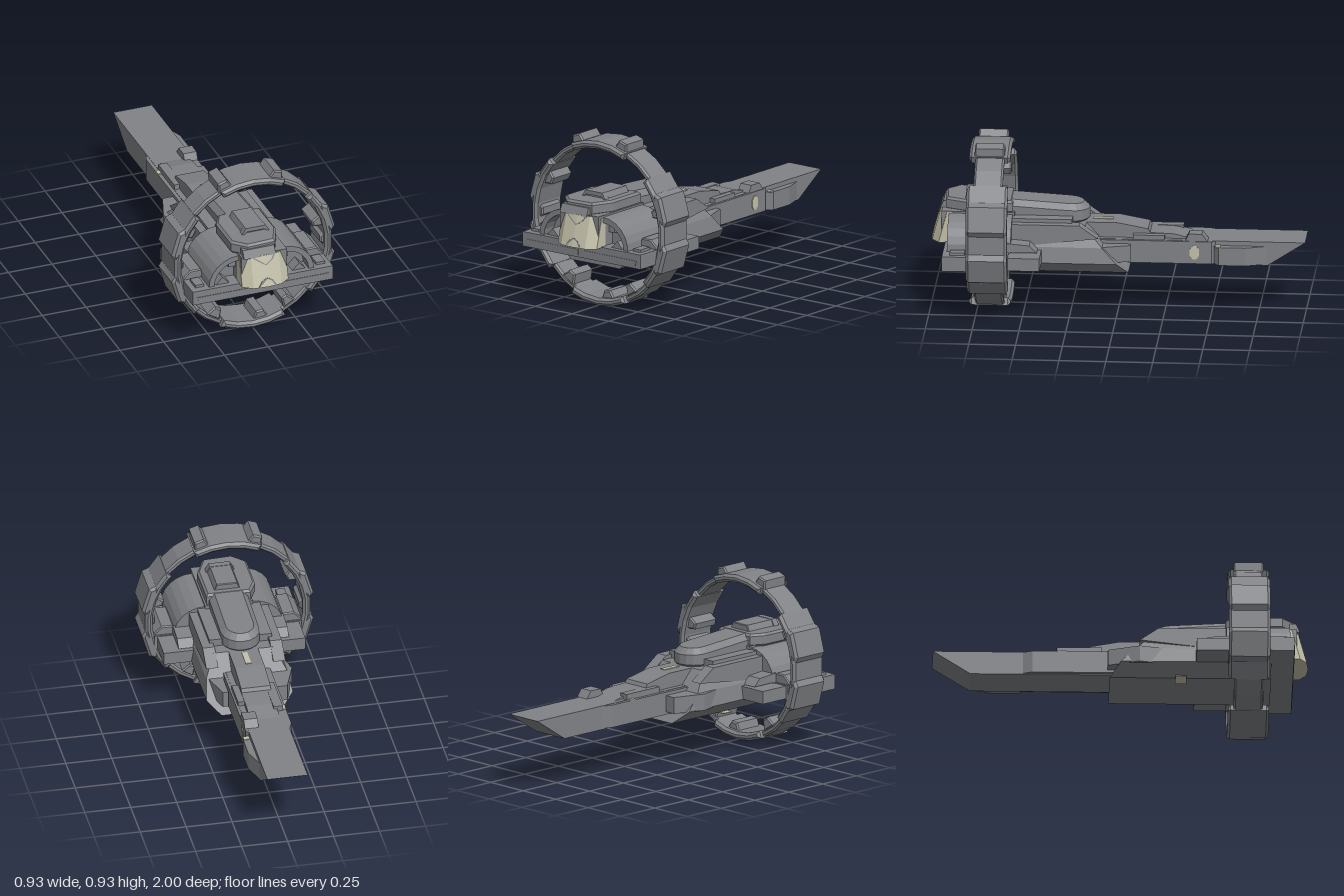
import * as THREE from 'three';

export function createModel() {
  const root = new THREE.Group();
  root.name = 'ringShip';
  const grey = new THREE.MeshStandardMaterial({ color: 0x808286 });
  const cream = new THREE.MeshStandardMaterial({ color: 0xc4c1aa });
  grey.name = 'hullGrey';
  cream.name = 'glassCream';

  const add = (name, geo, mat = grey) => {
    const m = new THREE.Mesh(geo, mat);
    m.name = name;
    root.add(m);
    return m;
  };
  // Extrudes a polygon by d in total, with an optional chamfer b kept inside the outline
  const extrude = (pts, d, b = 0) => {
    const shape = new THREE.Shape(pts.map(p => new THREE.Vector2(p[0], p[1])));
    const g = new THREE.ExtrudeGeometry(shape, {
      depth: d - 2 * b, bevelEnabled: b > 0, bevelSize: b, bevelOffset: -b,
      bevelThickness: b, bevelSegments: 1, curveSegments: 8,
    });
    return g.translate(0, 0, b);
  };
  // Outlines in (x,y), (z,y) and (x,z)
  const front = (name, pts, z0, z1, b, mat) => add(name, extrude(pts, z1 - z0, b).translate(0, 0, z0), mat);
  const side = (name, pts, x0, x1, b, mat) =>
    add(name, extrude(pts, x1 - x0, b).rotateY(-Math.PI / 2).translate(x1, 0, 0), mat);
  const plan = (name, pts, y0, y1, b, mat) =>
    add(name, extrude(pts, y1 - y0, b).rotateX(Math.PI / 2).translate(0, y1, 0), mat);
  const box = (name, x0, x1, y0, y1, z0, z1, mat) =>
    add(name, new THREE.BoxGeometry(x1 - x0, y1 - y0, z1 - z0)
      .translate((x0 + x1) / 2, (y0 + y1) / 2, (z0 + z1) / 2), mat);
  // Moves vertices by a rule
  const warp = (mesh, rule) => {
    const p = mesh.geometry.attributes.position, v = new THREE.Vector3();
    for (let i = 0; i < p.count; i++) {
      rule(v.fromBufferAttribute(p, i));
      p.setXYZ(i, v.x, v.y, v.z);
    }
    mesh.geometry.computeVertexNormals();
    return mesh;
  };

  // ---- Ring ----
  const polar = (deg, r) => {
    const a = deg * Math.PI / 180;
    return [Math.sin(a) * r, 0.45 + Math.cos(a) * r];
  };
  const arc = (name, a0, a1, r0, r1, z0, z1, b) => {
    const n = Math.max(1, Math.round((a1 - a0) / 12)), out = [], inn = [];
    for (let i = 0; i <= n; i++) {
      const a = a0 + (a1 - a0) * i / n;
      out.push(polar(a, r1));
      inn.unshift(polar(a, r0));
    }
    front(name, [...out, ...inn], z0, z1, b);
  };
  for (let k = 0; k < 4; k++) {
    const a = [24, 132, 204, 312][k];
    arc('ringLink', a - 1, a + 25, 0.414, 0.448, 0.6, 0.755, 0.01);
  }
  for (const a of [0, 180]) arc('ringEndPanel', a - 24, a + 24, 0.41, 0.452, 0.57, 0.79, 0.014);
  for (const a of [90, 270]) arc('ringSidePanel', a - 42, a + 42, 0.41, 0.451, 0.57, 0.79, 0.014);
  for (const sx of [1, -1]) for (const sy of [1, -1]) {
    const pod = [[0.40, 0.10], [0.445, 0.045], [0.466, 0.08], [0.428, 0.21], [0.388, 0.226], [0.375, 0.20]];
    front('ringArmour', pod.map(([x, y]) => [sx * x, 0.45 + sy * y]), 0.57, 0.79, 0.014);
  }
  // Wedge blocks: angle, base radius, tip radius, half angle
  const wedges = [[-20, 0.44, 0.49, 5.5], [18, 0.44, 0.49, 5.5], [-62, 0.42, 0.37, 6], [74, 0.42, 0.36, 5],
    [-148, 0.42, 0.36, 6], [149, 0.42, 0.36, 5], [173, 0.42, 0.37, 6], [90, 0.415, 0.39, 5], [-90, 0.415, 0.39, 5]];
  for (const [a, r0, r1, h] of wedges) {
    front('ringBlock', [polar(a - h, r0), polar(a - h * 0.55, r1), polar(a + h * 0.55, r1), polar(a + h, r0)],
      0.6, 0.76, 0.008);
  }
  box('ringLight', -0.05, 0.05, 0.856, 0.861, 0.65, 0.7, cream);

  // ---- Nose beam ----
  side('noseBeam', [[0.3, 0.27], [-0.8, 0.27], [-1, 0.4], [0.3, 0.4]], -0.11, 0.11);
  plan('beamSleeve', [[-0.13, 0.25], [-0.13, -0.47], [-0.11, -0.52], [0.11, -0.52], [0.125, -0.5], [0.125, 0.25]],
    0.275, 0.398);
  plan('beamCheek', [[0.1, -0.82], [0.148, -0.68], [0.148, -0.54], [0.1, -0.5]], 0.275, 0.375);
  side('beamSpine', [[0.25, 0.48], [0, 0.48], [-0.16, 0.45], [-0.17, 0.43], [-0.3, 0.425], [-0.4, 0.4], [0.25, 0.39]],
    -0.08, 0.08);
  side('sensorBlock', [[-0.36, 0.4], [-0.38, 0.44], [-0.45, 0.44], [-0.48, 0.4]], 0.05, 0.125);
  box('beamStep', -0.11, -0.06, 0.4, 0.43, -0.34, -0.1);
  box('beamStep', 0.06, 0.115, 0.4, 0.425, -0.25, -0.08);
  side('sideLight', [[-0.385, 0.32], [-0.4, 0.3], [-0.42, 0.3], [-0.435, 0.32], [-0.435, 0.355], [-0.42, 0.375],
    [-0.4, 0.375], [-0.385, 0.355]], 0.122, 0.128, 0, cream);
  box('deckLight', -0.13, -0.105, 0.396, 0.402, -0.33, -0.29, cream);
  box('cheekLight', 0.115, 0.145, 0.373, 0.379, -0.55, -0.52, cream);
  box('spineLight', -0.015, 0.015, 0.478, 0.484, 0.03, 0.14, cream);

  // ---- Main hull: hexagonal section, raked at the nose end ----
  const hullSection = [[-0.165, 0.23], [0.165, 0.23], [0.235, 0.295], [0.22, 0.38], [0.165, 0.48],
    [-0.165, 0.48], [-0.22, 0.38], [-0.235, 0.295]];
  warp(front('mainHull', hullSection, 0, 0.8), v => {
    if (v.z < 0.1) v.z = -0.06 + (v.y - 0.23) * 0.92;
    else v.z = 0.8;
  });
  plan('shoulder', [[-0.13, -0.07], [-0.19, -0.07], [-0.25, 0.1], [-0.22, 0.22], [-0.13, 0.22]], 0.29, 0.38);
  plan('shoulder', [[0.13, -0.07], [0.16, -0.07], [0.22, 0.12], [0.22, 0.28], [0.13, 0.28]], 0.29, 0.38);
  box('keelLight', -0.2, -0.1, 0.226, 0.231, 0.29, 0.35, cream);
  box('upperDeck', -0.17, 0.17, 0.44, 0.52, 0.24, 0.85);
  for (const s of [1, -1]) {
    side('deckRail', [[0.6, 0.5], [0.2, 0.5], [0.1, 0.43], [0.6, 0.37]], s > 0 ? 0.15 : -0.215, s > 0 ? 0.215 : -0.15);
  }

  // ---- Rounded dorsal hood ----
  const hood = [[0.105, 0.6], [-0.105, 0.6]];
  for (let i = 0; i <= 8; i++) {
    const a = Math.PI * i / 8;
    hood.push([-0.105 * Math.cos(a), 0.26 - 0.105 * Math.sin(a)]);
  }
  warp(plan('dorsalHood', hood, 0.46, 0.6, 0.03), v => {
    if (v.y > 0.5) v.y -= Math.max(0, 0.6 - v.z) * 0.06;
  });

  // ---- Cabin, windscreen and roof ----
  box('cabin', -0.13, 0.13, 0.37, 0.54, 0.55, 0.94);
  const rake = v => { if (v.z > 0.93) v.z -= (v.y - 0.37) * 0.27; };
  warp(plan('windscreen', [[-0.132, 0.88], [0.132, 0.88], [0.132, 0.955], [0.08, 0.992], [0, 1], [-0.08, 0.992],
    [-0.132, 0.955]], 0.365, 0.535, 0, cream), rake);
  // Dark patches laid on the glass
  const patch = (pts) => warp(front('windscreenPatch', pts, 0.997, 1.001), v => {
    v.z -= Math.abs(v.x) * 0.1 + (v.y - 0.37) * 0.27;
  });
  patch([[-0.085, 0.536], [-0.04, 0.505], [0, 0.48], [0.04, 0.505], [0.06, 0.536]]);
  patch([[-0.05, 0.37], [0.05, 0.37], [0.03, 0.4], [0, 0.415], [-0.03, 0.4]]);

  plan('roofBlock', [[-0.12, 0.56], [0.12, 0.56], [0.122, 0.8], [0.07, 0.92], [-0.09, 0.93], [-0.16, 0.86],
    [-0.16, 0.64]], 0.53, 0.6, 0.012);
  side('roofVisor', [[0.8, 0.53], [0.955, 0.53], [0.935, 0.575], [0.8, 0.58]], -0.12, 0.06);
  // Raised frame on the roof
  const cap = (w, t, y0, y1) => [[-w, y0], [w, y0], [t, y1], [-t, y1]];
  front('roofCap', cap(0.072, 0.055, 0.595, 0.632), 0.6, 0.8, 0.004);
  front('roofCapFrame', [[-0.077, 0.6], [-0.057, 0.634], [0.057, 0.634], [0.077, 0.6], [0.064, 0.6], [0.05, 0.612],
    [-0.05, 0.612], [-0.064, 0.6]], 0.78, 0.815);

  // ---- Cross wing with recessed-looking front panels ----
  box('crossWing', -0.4, 0.4, 0.29, 0.37, 0.57, 0.92);
  box('wingRear', -0.385, 0.385, 0.295, 0.365, 0.4, 0.58);
  for (const s of [1, -1]) {
    front('wingPanel', [[0.02, 0.303], [0.365, 0.303], [0.375, 0.333], [0.02, 0.333]].map(([x, y]) => [s * x, y]),
      0.918, 0.923);
    // Arched engine tunnels
    const outer = [], inner = [];
    for (let i = 0; i <= 6; i++) {
      const a = Math.PI / 2 * i / 6, c = Math.cos(a), n = Math.sin(a);
      outer.push([s * (0.13 + 0.17 * c), 0.365 + 0.165 * n]);
      inner.unshift([s * (0.13 + 0.14 * c), 0.365 + 0.135 * n]);
    }
    front('engineArch', [...outer, ...inner], 0.56, 0.9);
    front('engineCore', [...inner, [s * 0.13, 0.365]], 0.56, 0.82);
    front('engineFin', [[s * 0.18, 0.37], [s * 0.22, 0.41], [s * 0.255, 0.37]], 0.8, 0.89);
    // Struts reaching the ring
    front('ringStrut', [[0.26, 0.36], [0.3, 0.418], [0.36, 0.418], [0.4, 0.38], [0.4, 0.36]].map(([x, y]) => [s * x, y]),
      0.58, 0.78, 0.006);
    front('underStrut', [[0.36, 0.3], [0.38, 0.25], [0.41, 0.3]].map(([x, y]) => [s * x, y]), 0.6, 0.76);
    side('wingRoot', [[0.58, 0.37], [0.42, 0.37], [0.46, 0.41], [0.58, 0.42]], s > 0 ? 0.2 : -0.3, s > 0 ? 0.3 : -0.2);
    box('wingPod', s > 0 ? 0.32 : -0.37, s > 0 ? 0.37 : -0.32, 0.365, 0.385, 0.8, 0.88);
  }
  return root;
}
